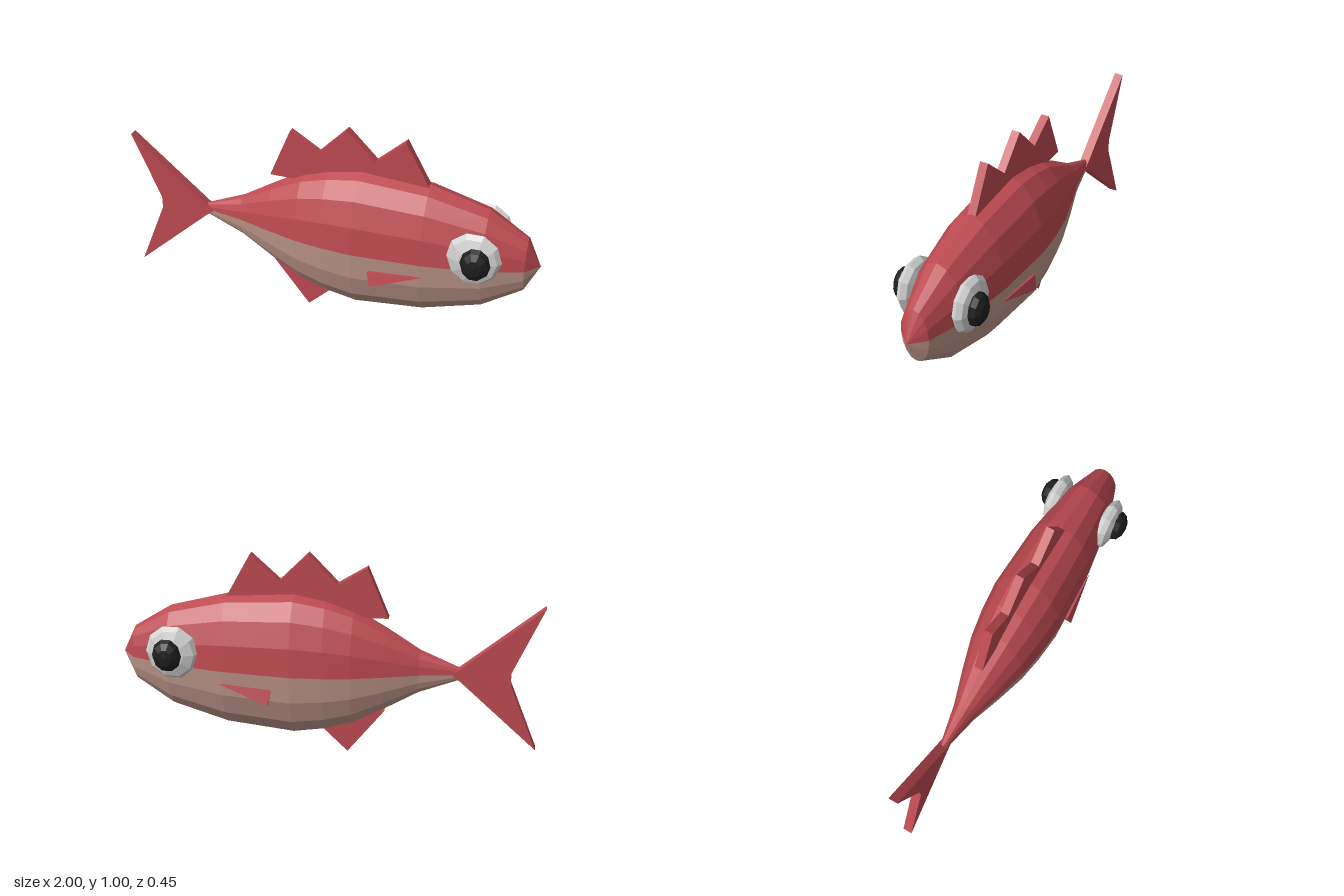
import * as THREE from 'three';
import { ConvexGeometry } from 'three/addons/geometries/ConvexGeometry.js';

const mat = (name, color) => {
  const m = new THREE.MeshStandardMaterial({ color, flatShading: true });
  m.name = name;
  return m;
};

export function createModel() {
  const red = mat('red', 0xbc4a50);
  const belly = mat('belly', 0xbd958a);
  const white = mat('eyeWhite', 0xd2d2d2);
  const black = mat('pupilBlack', 0x1e1e1e);
  const fish = new THREE.Group();
  fish.name = 'fish';
  const add = (name, geometry, material) => {
    const mesh = new THREE.Mesh(geometry, material);
    mesh.name = name;
    fish.add(mesh);
    return mesh;
  };

  // Body: one spindle profile (radius, x), swept as an upper and a lower half
  const midY = 0.445;
  const profile = [
    [0, -0.645], [0.03, -0.63], [0.108, -0.44], [0.207, -0.28], [0.29, -0.13], [0.333, 0],
    [0.36, 0.15], [0.332, 0.475], [0.255, 0.75], [0.137, 0.935], [0, 1],
  ].map(([r, x]) => new THREE.Vector2(r, x));
  const halfBody = (name, start, material) => {
    const g = new THREE.LatheGeometry(profile, 8, start, Math.PI);
    g.rotateZ(-Math.PI / 2).scale(1, 1, 0.51).translate(0, midY, 0);
    add(name, g, material);
  };
  halfBody('lowerBody', 0, belly);
  halfBody('upperBody', Math.PI, red);

  // Flat fins on the centre plane
  const fin = (name, points, depth) => {
    const shape = new THREE.Shape(points.map(([x, y]) => new THREE.Vector2(x, y)));
    const g = new THREE.ExtrudeGeometry(shape, { depth, bevelEnabled: false });
    g.translate(0, 0, -depth / 2);
    add(name, g, red);
  };
  fin('dorsalFin', [
    [-0.29, 0.705], [0.3, 0.69], [0.475, 0.765], [0.357, 0.98], [0.22, 0.857],
    [0.083, 0.997], [-0.053, 0.857], [-0.19, 0.945],
  ], 0.04);
  fin('tailFin', [
    [-1, 0.8], [-0.865, 0.475], [-0.865, 0.415], [-1, 0.085], [-0.63, 0.415],
    [-0.59, 0.445], [-0.63, 0.475],
  ], 0.045);
  fin('analFin', [[-0.28, 0.23], [-0.105, 0], [0.01, 0.11], [-0.05, 0.25]], 0.04);

  // Mirrored eyes and wedge-shaped side fins
  const ellipsoid = (sx, sy, sz, x, y, z) =>
    new THREE.SphereGeometry(1, 10, 6).rotateX(Math.PI / 2).scale(sx, sy, sz).translate(x, y, z);
  for (const [side, s] of [['Front', 1], ['Back', -1]]) {
    add('eye' + side, ellipsoid(0.128, 0.135, 0.048, 0.715, 0.515, s * 0.138), white);
    add('pupil' + side, ellipsoid(0.07, 0.083, 0.046, 0.73, 0.515, s * 0.181), black);
    const wedge = [
      [0.49, 0.38, 0.166], [0.235, 0.37, 0.184], [0.245, 0.372, 0.14],
      [0.25, 0.3, 0.2], [0.255, 0.288, 0.15],
    ].map(([x, y, z]) => new THREE.Vector3(x, y, s * z));
    add('sideFin' + side, new ConvexGeometry(wedge), red);
  }
  return fish;
}
